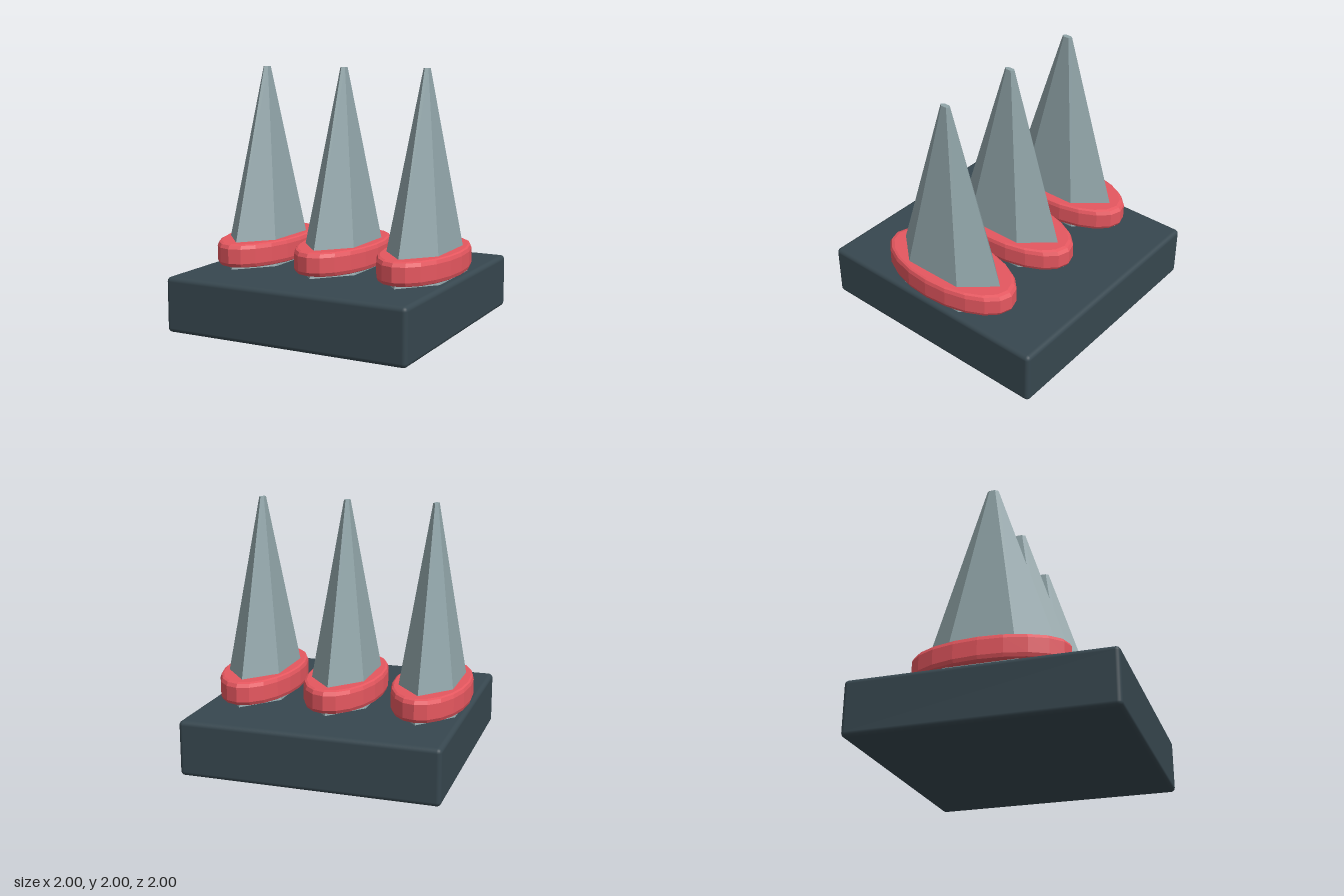
import * as THREE from 'three';
import { RoundedBoxGeometry } from 'three/addons/geometries/RoundedBoxGeometry.js';

const material = (color, flatShading = false) => {
  const m = new THREE.MeshStandardMaterial({ color });
  m.flatShading = flatShading;
  return m;
};

export function createModel() {
  const model = new THREE.Group();
  model.name = 'spikeTrap';

  const add = (parent, name, geometry, mat) => {
    const mesh = new THREE.Mesh(geometry, mat);
    mesh.name = name;
    parent.add(mesh);
    return mesh;
  };

  // Slab with softly rounded edges
  const baseHeight = 0.43;
  const base = add(model, 'base', new RoundedBoxGeometry(2, baseHeight, 2, 3, 0.035), material(0x37474f));
  base.position.y = baseHeight / 2;

  // Collar: bevelled disc, later squeezed to an ellipse
  const collarProfile = [
    [0, 0.45], [0.555, 0.45], [0.582, 0.458], [0.6, 0.485],
    [0.6, 0.6], [0.582, 0.627], [0.555, 0.635], [0, 0.635],
  ].map(([r, y]) => new THREE.Vector2(r, y));
  const collarGeometry = new THREE.LatheGeometry(collarProfile, 20);
  const collarMaterial = material(0xe5575f, true);

  // Spike: six-sided blunt cone, starting slightly inside the slab
  const spikeBottom = 0.42;
  const spikeHeight = 2 - spikeBottom;
  const spikeGeometry = new THREE.CylinderGeometry(0.045, 0.558, spikeHeight, 6);
  spikeGeometry.translate(0, spikeBottom + spikeHeight / 2, 0);
  const spikeMaterial = material(0x90a4a8, true);

  // Three spikes in a row, each half as wide as it is deep
  ['right', 'middle', 'left'].forEach((side, i) => {
    const unit = new THREE.Group();
    unit.name = `${side}SpikeUnit`;
    unit.position.x = (i - 1) * 0.7;
    unit.scale.x = 0.5;
    add(unit, 'collar', collarGeometry, collarMaterial);
    add(unit, 'spike', spikeGeometry, spikeMaterial);
    model.add(unit);
  });

  return model;
}
